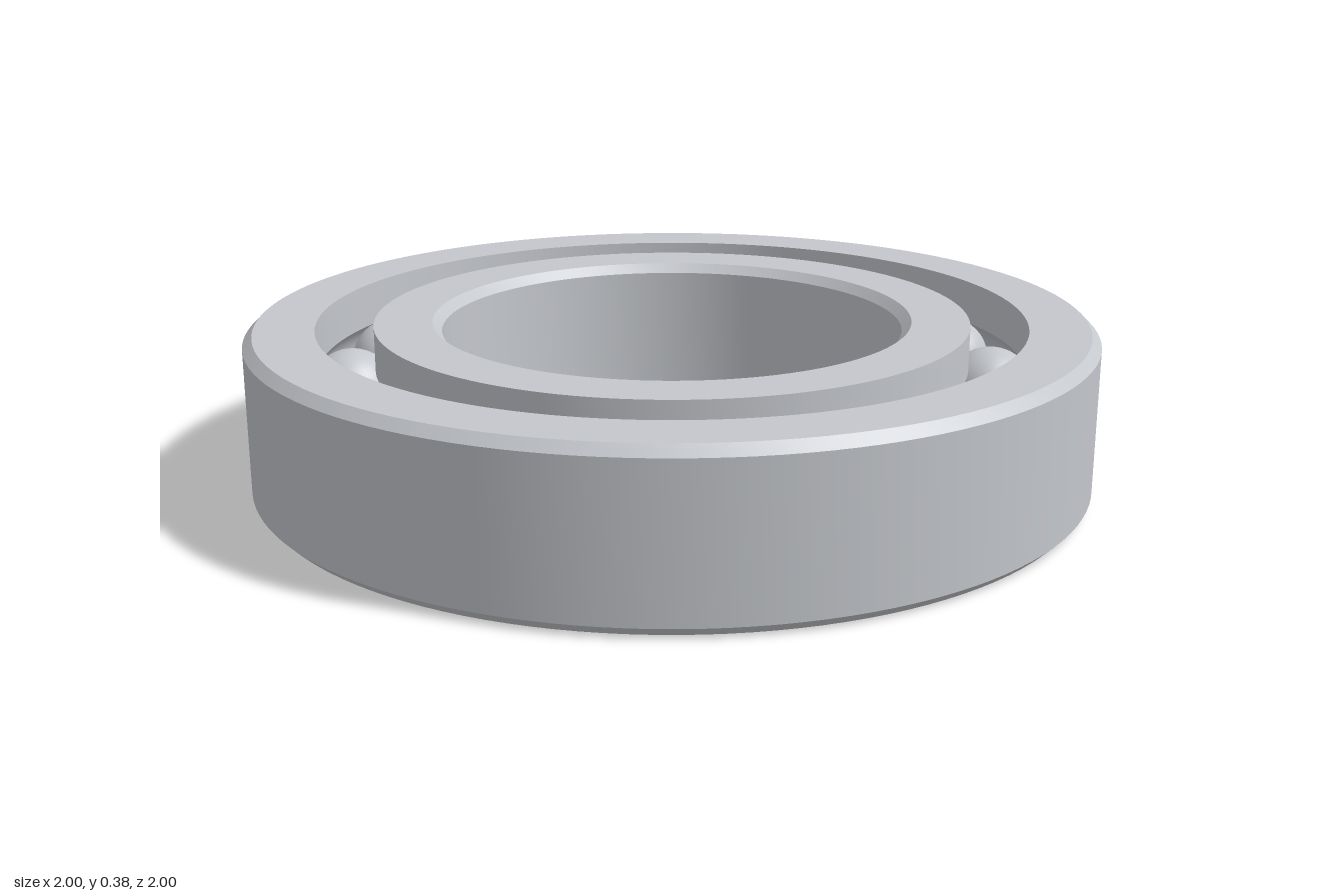
import * as THREE from 'three';
import { toCreasedNormals } from 'three/addons/utils/BufferGeometryUtils.js';

const HEIGHT = 0.385, MID = HEIGHT / 2, CHAMFER = 0.022;
const PITCH = 0.77;        // radius of the circle of ball centres
const HALF_GAP = 0.067;    // from pitch circle to each ring wall
const BALL = 0.107, GROOVE = 0.109, BALLS = 16;

export function createModel() {
  const steel = new THREE.MeshStandardMaterial({ color: 0xc4c7cc });
  steel.name = 'steel';
  const model = new THREE.Group();
  model.name = 'ballBearing';

  // Wall with a round raceway: side +1 is the outer ring, -1 the inner ring
  const raceway = (side) => {
    const a = Math.acos(HALF_GAP / GROOVE), n = 14, points = [];
    for (let i = 0; i <= n; i++) {
      const t = side * a * (1 - 2 * i / n);
      points.push([PITCH + side * GROOVE * Math.cos(t), MID + GROOVE * Math.sin(t)]);
    }
    return points;
  };

  // Closed profile turned around y, with sharp edges kept
  const addRing = (name, profile) => {
    const points = [...profile, profile[0]].map(([x, y]) => new THREE.Vector2(x, y));
    const geometry = toCreasedNormals(new THREE.LatheGeometry(points, 128), 0.4);
    const ring = new THREE.Mesh(geometry, steel);
    ring.name = name;
    model.add(ring);
  };

  const outerWall = PITCH + HALF_GAP, innerWall = PITCH - HALF_GAP, bore = 0.545;
  addRing('outerRing', [
    [outerWall, 0], [1 - CHAMFER, 0], [1, CHAMFER],
    [1, HEIGHT - CHAMFER], [1 - CHAMFER, HEIGHT], [outerWall, HEIGHT],
    ...raceway(1),
  ]);
  addRing('innerRing', [
    [bore + CHAMFER, 0], [innerWall, 0],
    ...raceway(-1),
    [innerWall, HEIGHT], [bore + CHAMFER, HEIGHT],
    [bore, HEIGHT - CHAMFER], [bore, CHAMFER],
  ]);

  // Balls evenly spaced between the rings
  const balls = new THREE.Group();
  balls.name = 'balls';
  const ballGeometry = new THREE.SphereGeometry(BALL, 32, 20);
  for (let i = 0; i < BALLS; i++) {
    const a = i / BALLS * Math.PI * 2;
    const ball = new THREE.Mesh(ballGeometry, steel);
    ball.name = 'ball';
    ball.position.set(PITCH * Math.cos(a), MID, PITCH * Math.sin(a));
    balls.add(ball);
  }
  model.add(balls);
  return model;
}
